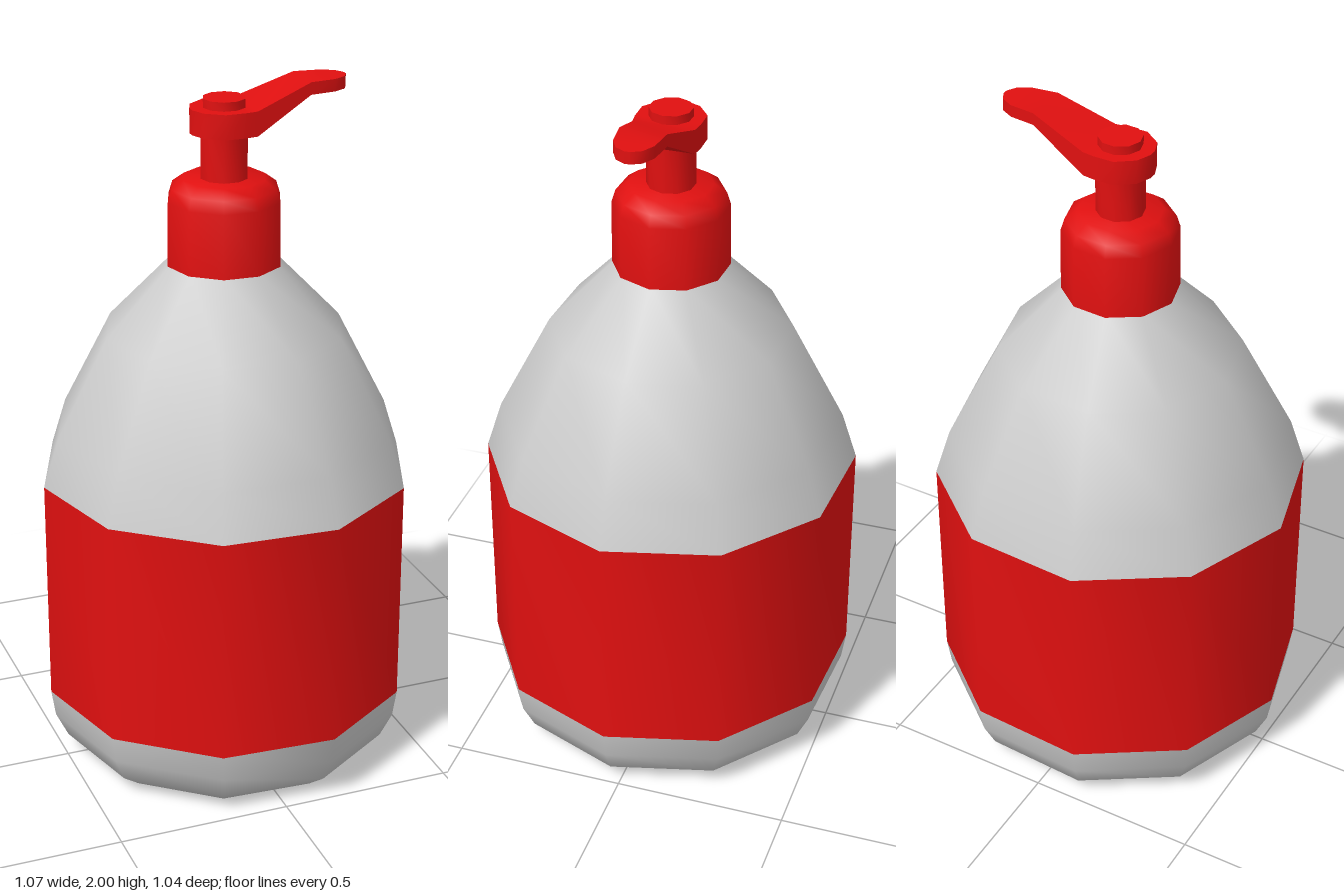
import * as THREE from 'three';
import { toCreasedNormals } from 'three/addons/utils/BufferGeometryUtils.js';

const CREASE = THREE.MathUtils.degToRad(50);
const SIDES = 10;
const TURN = THREE.MathUtils.degToRad(14.8); // all round parts share this twist

const grey = new THREE.MeshStandardMaterial({ color: 0xcccccc, side: THREE.DoubleSide });
const red = new THREE.MeshStandardMaterial({ color: 0xe01010, side: THREE.DoubleSide });

// Ten-sided turned part from [radius, height] pairs, listed bottom to top
function turned(name, profile, material) {
  const points = profile.map(([r, y]) => new THREE.Vector2(r, y));
  const geometry = new THREE.LatheGeometry(points, SIDES, TURN);
  const mesh = new THREE.Mesh(toCreasedNormals(geometry, CREASE), material);
  mesh.name = name;
  return mesh;
}

// Pump head: a box bent along stations of [x, half width, bottom, top]
function pumpHead() {
  const stations = [
    [-0.097, 0.012, 1.87, 1.94],
    [-0.08, 0.055, 1.87, 1.94],
    [-0.03, 0.092, 1.87, 1.94],
    [0.03, 0.092, 1.87, 1.94],
    [0.065, 0.087, 1.87, 1.94],
    [0.23, 0.065, 1.965, 2.0],
    [0.305, 0.056, 1.965, 2.0],
    [0.342, 0.036, 1.965, 2.0],
    [0.357, 0.008, 1.965, 2.0],
  ];
  const n = stations.length - 1;
  const geometry = new THREE.BoxGeometry(n, 1, 1, n, 1, 1);
  const p = geometry.attributes.position;
  for (let i = 0; i < p.count; i++) {
    const [x, w, low, high] = stations[Math.round(p.getX(i) + n / 2)];
    p.setXYZ(i, x, p.getY(i) > 0 ? high : low, Math.sign(p.getZ(i)) * w);
  }
  const mesh = new THREE.Mesh(toCreasedNormals(geometry, CREASE), red);
  mesh.name = 'pumpHead';
  return mesh;
}

export function createModel() {
  const model = new THREE.Group();
  model.name = 'pumpBottle';

  // Bottle with a label band flush between base and shoulder
  model.add(turned('bottleBase',
    [[0, 0], [0.425, 0], [0.49, 0.05], [0.526, 0.125], [0.538, 0.205]], grey));
  model.add(turned('labelBand', [[0.538, 0.205], [0.538, 0.87]], red));
  model.add(turned('bottleShoulder',
    [[0.538, 0.87], [0.494, 1.01], [0.345, 1.3], [0.155, 1.5]], grey));

  // Pump: collar, stem, head with spout, and press button
  model.add(turned('collar',
    [[0, 1.495], [0.165, 1.495], [0.163, 1.68], [0.152, 1.715], [0.118, 1.74], [0, 1.74]], red));
  model.add(turned('stem', [[0.068, 1.74], [0.068, 1.87]], red));
  model.add(pumpHead());
  model.add(turned('button', [[0.061, 1.93], [0.061, 1.965], [0, 1.965]], red));

  return model;
}
